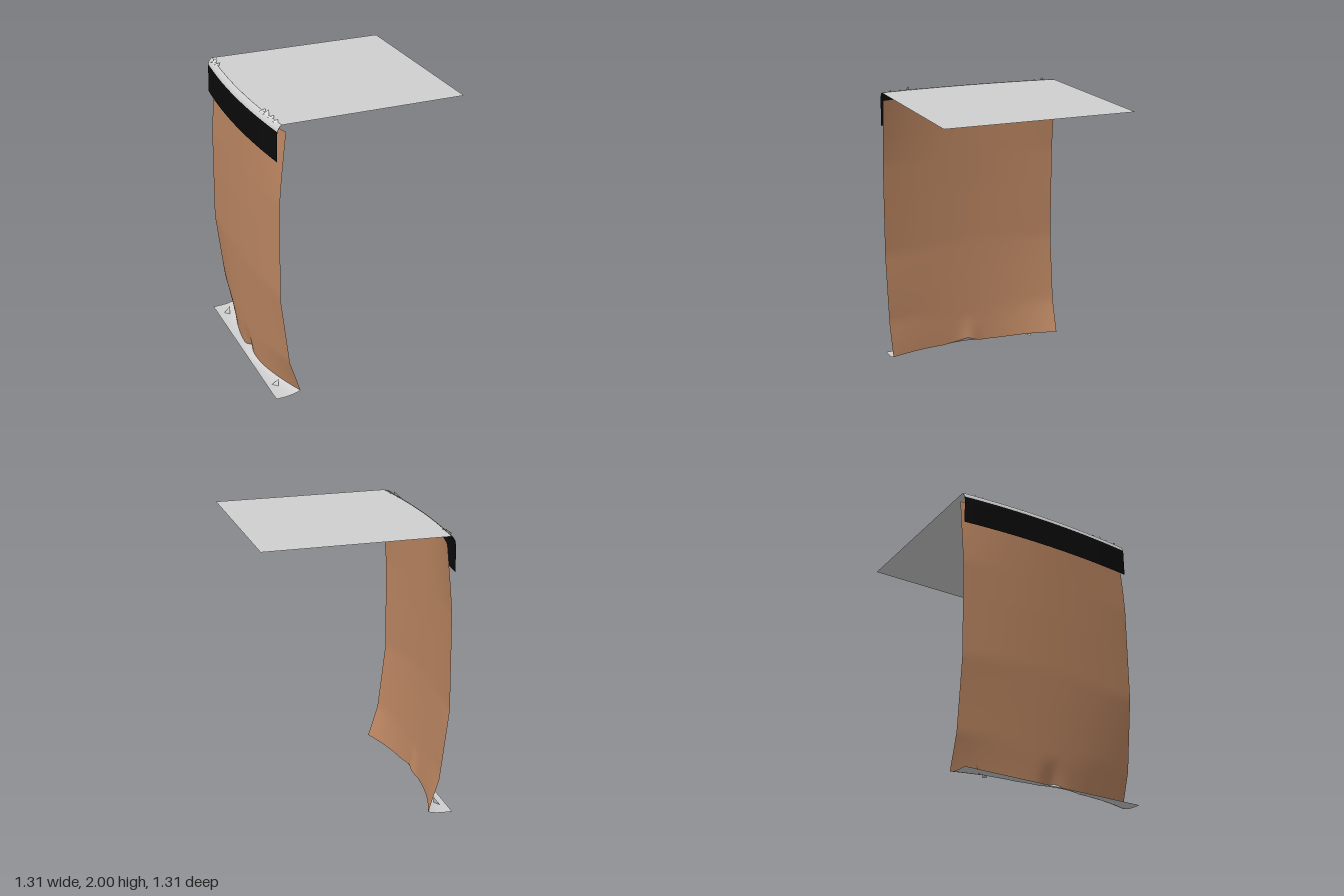
import * as THREE from 'three';
import { mergeGeometries } from 'three/addons/utils/BufferGeometryUtils.js';

const HALF = 0.655;
const PLATE_Y = 1.97;
const BASE_Y = 0.01;

const mat = (name, color) =>
  new THREE.MeshStandardMaterial({ name, color, side: THREE.DoubleSide });

// Piecewise linear lookup in [key, value] pairs with ascending keys
function lerpTable(table, t) {
  for (let i = 1; i < table.length; i++) {
    const [a, va] = table[i - 1], [b, vb] = table[i];
    if (t <= b) return va + (vb - va) * Math.max(0, (t - a) / (b - a));
  }
  return table[table.length - 1][1];
}

// Smooth surface from a rule point(u, v), with u and v in 0..1
function sheet(point, nu, nv) {
  const geo = new THREE.PlaneGeometry(1, 1, nu, nv);
  const pos = geo.attributes.position;
  for (let i = 0; i < pos.count; i++) {
    pos.setXYZ(i, ...point(pos.getX(i) + 0.5, pos.getY(i) + 0.5));
  }
  geo.computeVertexNormals();
  return geo;
}

const zAt = (u) => (u * 2 - 1) * HALF;
const bow = (z) => (z / HALF) ** 2;

// Panel x by height: middle of the sheet and its two ends
const middleX = [[0, -0.61], [0.2, -0.625], [0.6, -0.645], [0.8, -0.653], [1.2, -0.653], [1.92, -0.643]];
const endX = [[0.03, -0.48], [0.27, -0.555], [0.77, -0.613], [1.45, -0.605], [1.6, -0.592], [1.92, -0.557]];
// Height of the wavy lower hem along z
const hemY = [[-0.655, 0.032], [-0.45, 0.024], [-0.25, 0.012], [-0.07, 0.012], [0.02, 0.05], [0.1, 0.03], [0.22, 0.018], [0.42, 0.027], [0.655, 0.036]];

function panelPoint(u, v) {
  const z = zAt(u);
  const low = lerpTable(hemY, z);
  const y = low + (1.92 - low) * v;
  const m = lerpTable(middleX, y), e = lerpTable(endX, y);
  // small pinch in the middle of the hem
  const pinch = 0.03 * Math.exp(-(((z - 0.0) / 0.06) ** 2)) * Math.max(0, 1 - y / 0.2);
  return [m + (e - m) * bow(z) + pinch, y, z];
}

// Cross-section of the band, curling over to the top plate
const bandX = [[0, 0], [0.6, 0.003], [0.75, 0.01], [0.9, 0.025], [1, 0.035]];
const bandY = [[0, 1.73], [0.6, 1.91], [0.75, 1.94], [0.9, 1.962], [1, PLATE_Y]];
const bandPoint = (lift) => (u, v) => {
  const z = zAt(u);
  return [-0.655 + lerpTable(bandX, v) + 0.037 * bow(z) - lift, lerpTable(bandY, v) + lift, z];
};

// Small torn triangle
function shard(x, y, z, w, h) {
  const geo = new THREE.BufferGeometry();
  geo.setAttribute('position', new THREE.Float32BufferAttribute(
    [x - 0.02, y, z - w, x + 0.01, y, z + w, x + 0.02, y + h, z], 3));
  geo.computeVertexNormals();
  return geo;
}

export function createModel() {
  const group = new THREE.Group();
  const brown = mat('warm brown', 0xb98460);
  const grey = mat('light grey', 0xcfcfcf);
  const black = mat('black', 0x0a0a0a);
  const add = (name, geo, material) => {
    const mesh = new THREE.Mesh(geo, material);
    mesh.name = name;
    group.add(mesh);
  };

  // Tall bowed wall sheet
  add('wallPanel', sheet(panelPoint, 48, 48), brown);

  // Band hanging outside the wall and its pale upper lip
  add('blackBand', sheet(bandPoint(0), 32, 20), black);
  add('bandLip', sheet((u, v) => bandPoint(0.002)(u, 0.68 + 0.32 * v), 32, 8), grey);

  // Flat top plate with its curved edge along the band
  add('topPlate', sheet((u, v) => {
    const z = zAt(u);
    const x0 = -0.62 + 0.037 * bow(z);
    return [x0 + (HALF - x0) * v, PLATE_Y, z];
  }, 32, 2), grey);

  // Narrow base strip outside the wall, rising to the hem
  add('baseStrip', sheet((u, v) => {
    const [x, y, z] = panelPoint(u, 0);
    return [-HALF + (x + HALF) * v, BASE_Y + (y - BASE_Y) * v ** 3, z];
  }, 48, 6), grey);

  // Torn bits along the upper and lower seams
  const bits = [
    [-0.6, 1.965, 0.59, 0.015, 0.02], [-0.6, 1.965, 0.52, 0.02, 0.02],
    [-0.61, 1.965, 0.46, 0.02, 0.035], [-0.61, 1.965, 0.4, 0.015, 0.02],
    [-0.6, 1.965, -0.5, 0.02, 0.02], [-0.6, 1.965, -0.56, 0.02, 0.03],
    [-0.6, 0.01, 0.5, 0.02, 0.045], [-0.59, 0.01, -0.52, 0.02, 0.06],
    [-0.58, 0.01, -0.47, 0.03, -0.01],
  ];
  add('tornBits', mergeGeometries(bits.map((b) => shard(...b))), grey);

  return group;
}
